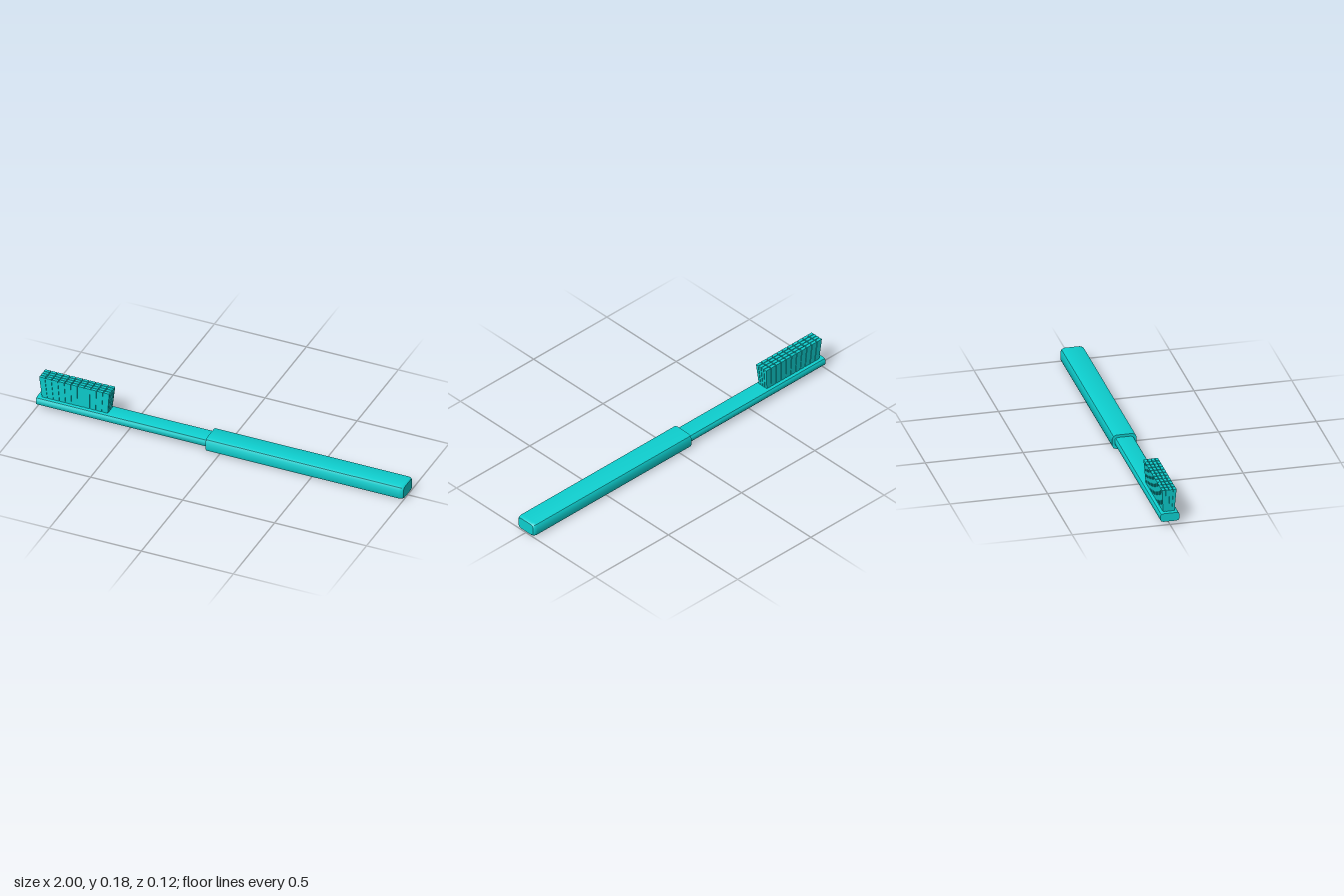
import * as THREE from 'three';
import { mergeGeometries, toCreasedNormals } from 'three/addons/utils/BufferGeometryUtils.js';

// Rounded cross-section as fractions of half width (z) and half height (y)
const CORNER = [[1, 0.5], [0.9, 0.85], [0.66, 1]];
const RING = [
  ...CORNER,
  ...CORNER.map(([z, y]) => [-z, y]).reverse(),
  ...CORNER.map(([z, y]) => [-z, -y]),
  ...CORNER.map(([z, y]) => [z, -y]).reverse(),
];

// Closed bar along x through sections [x, half width, half height]
function bar(sections, cy) {
  const n = RING.length, pos = [], idx = [];
  for (const [x, w, h] of sections) for (const [z, y] of RING) pos.push(x, cy + y * h, z * w);
  for (let i = 0; i < sections.length - 1; i++) {
    for (let j = 0; j < n; j++) {
      const a = i * n + j, b = i * n + (j + 1) % n;
      idx.push(a, a + n, b + n, a, b + n, b);
    }
  }
  const end = (sections.length - 1) * n;
  for (let j = 1; j < n - 1; j++) {
    idx.push(0, j, j + 1);
    idx.push(end, end + j + 1, end + j);
  }
  const g = new THREE.BufferGeometry();
  g.setAttribute('position', new THREE.Float32BufferAttribute(pos, 3));
  g.setIndex(idx);
  return toCreasedNormals(g, 0.7);
}

// Bristle block: grid of tufts around a slightly smaller core, flaring upward
function bristles() {
  const cols = 11, rows = 4, len = 0.36, wid = 0.062, y0 = 0.055, y1 = 0.184;
  const dx = len / cols, dz = wid / rows, parts = [];
  const block = (w, h, d, x, z) =>
    parts.push(new THREE.BoxGeometry(w, h, d).translate(x, y0 + h / 2, z));
  block(len - 0.012, y1 - y0 - 0.005, wid - 0.008, 0, 0);
  for (let i = 0; i < cols; i++) {
    for (let j = 0; j < rows; j++) {
      block(dx * 0.86, y1 - y0, dz * 0.84, (i - (cols - 1) / 2) * dx, (j - (rows - 1) / 2) * dz);
    }
  }
  const g = mergeGeometries(parts), p = g.attributes.position;
  for (let i = 0; i < p.count; i++) {
    const t = (p.getY(i) - y0) / (y1 - y0);
    p.setX(i, p.getX(i) * (1 + 0.07 * t) - 0.797);
    p.setZ(i, p.getZ(i) * (0.96 + 0.28 * t));
  }
  g.computeVertexNormals();
  return g;
}

export function createModel() {
  const group = new THREE.Group();
  const material = new THREE.MeshStandardMaterial({ color: 0x0dcfcf });
  const add = (name, geometry) => {
    const mesh = new THREE.Mesh(geometry, material);
    mesh.name = name;
    group.add(mesh);
  };

  // Thick grip with a rounded butt end
  add('handle', bar([
    [-0.072, 0.062, 0.038], [0.98, 0.062, 0.038], [0.994, 0.059, 0.036], [1, 0.053, 0.031],
  ], 0.039));

  // Slim neck running under the bristles
  add('neck', bar([[-1, 0.049, 0.022], [-0.05, 0.049, 0.022]], 0.041));

  add('bristles', bristles());
  return group;
}
